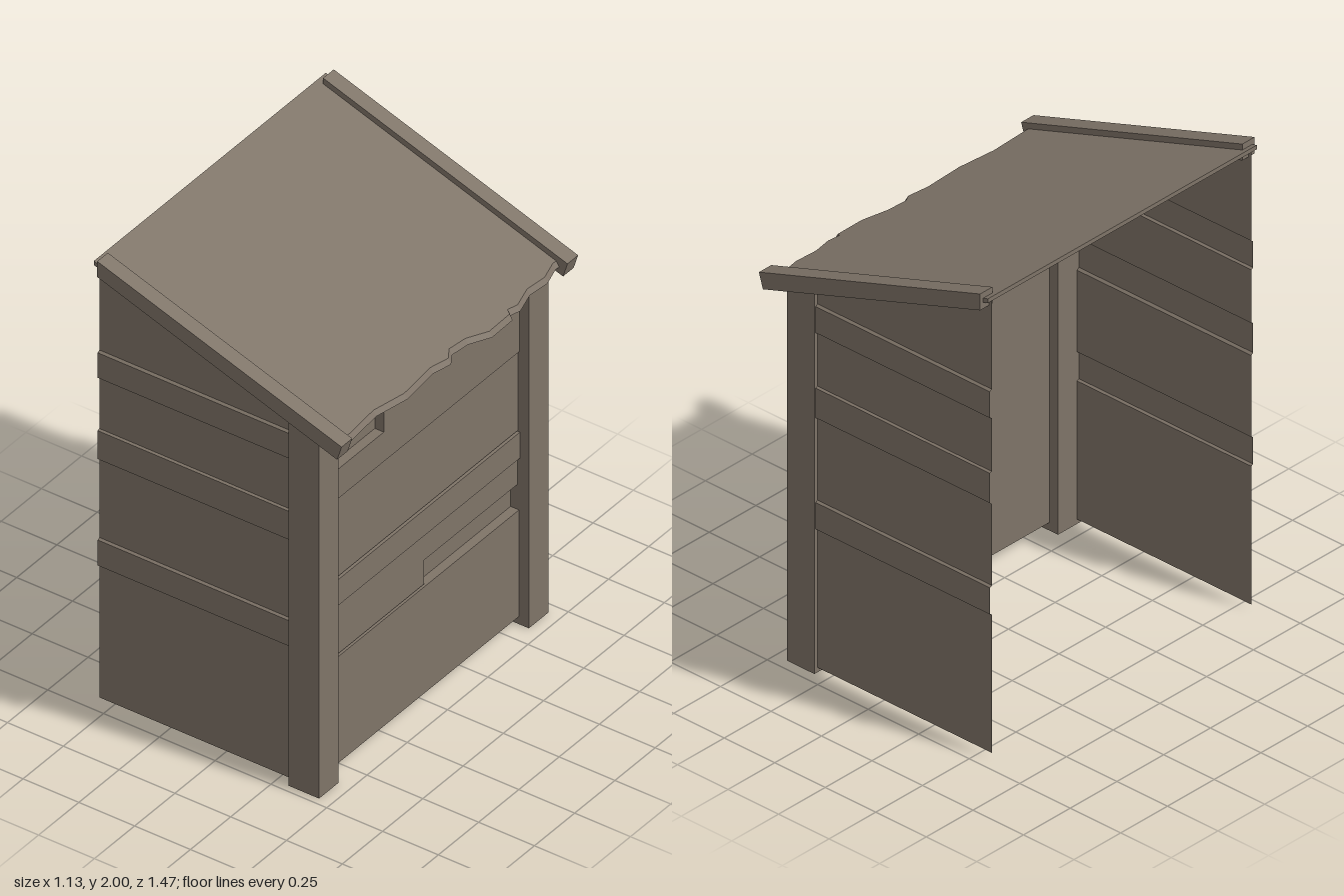
import * as THREE from 'three';

const SLOPE = -0.338;
const roofY = (x) => 1.983 + SLOPE * (x + 0.565); // top surface of the roof sheet

export function createModel() {
  const group = new THREE.Group();
  const wood = new THREE.MeshStandardMaterial({ color: 0x7f7468 });
  wood.name = 'weatheredWood';
  const sheetWood = wood.clone();
  sheetWood.name = 'weatheredWoodSheet';
  sheetWood.side = THREE.DoubleSide;

  const add = (name, geometry, material = wood) => {
    const mesh = new THREE.Mesh(geometry, material);
    mesh.name = name;
    group.add(mesh);
    return mesh;
  };
  const extrude = (points, depth) =>
    new THREE.ExtrudeGeometry(new THREE.Shape(points.map(([x, y]) => new THREE.Vector2(x, y))), {
      depth,
      bevelEnabled: false,
    });

  // Roof sheet: outline in x and z, ragged along the low eave, then sheared to the slope
  const eave = [
    [0.52, 0.72], [0.52, 0.66], [0.507, 0.47], [0.53, 0.31], [0.517, 0.13], [0.532, 0.04],
    [0.507, 0], [0.515, -0.09], [0.55, -0.19], [0.548, -0.32], [0.53, -0.33], [0.54, -0.38],
    [0.517, -0.47], [0.524, -0.57], [0.503, -0.65], [0.51, -0.72],
  ];
  const outline = [[-0.565, 0.72], ...eave, [-0.565, -0.72]].map(([x, z]) => [x, -z]);
  const thickness = 0.018;
  const roof = extrude(outline, thickness).rotateX(-Math.PI / 2);
  const pos = roof.attributes.position;
  for (let i = 0; i < pos.count; i++) {
    let x = pos.getX(i);
    const lower = pos.getY(i) < thickness / 2;
    if (lower && x > 0.4) x += 0.013; // the broken edge slants outward
    pos.setXYZ(i, x, roofY(x) - (lower ? thickness : 0), pos.getZ(i));
  }
  roof.computeVertexNormals();
  add('roofSheet', roof);

  // Sloping edge boards over both roof ends
  const boardShape = [[-0.54, 1.93], [0.535, 1.565], [0.555, 1.63], [-0.54, 2.0]];
  for (const [name, z] of [['frontRoofBoard', 0.668], ['backRoofBoard', -0.735]]) {
    add(name, extrude(boardShape, 0.066)).position.z = z;
  }

  // Corner posts with tops cut to the slope
  const postShape = [[0.308, 0], [0.444, 0], [0.444, 1.61], [0.308, 1.655]];
  for (const [name, z] of [['frontPost', 0.598], ['backPost', -0.705]]) {
    add(name, extrude(postShape, 0.122)).position.z = z;
  }

  // Thin side walls: rows of [height, outward step] joined between two ends
  const rows = [
    [0.02, 0], [0.612, 0], [0.617, 0.01], [0.731, 0.01], [0.737, 0],
    [1.086, 0], [1.094, 0.01], [1.221, 0.01], [1.225, 0],
    [1.453, 0], [1.458, 0.01], [1.57, 0.01], [1.577, 0], [2, 0],
  ];
  const sideWall = (side, base) => {
    const verts = [];
    const point = (x, [y, step]) => [x, Math.min(y, roofY(x) - 0.01), side * (base + step)];
    for (let i = 0; i < rows.length - 1; i++) {
      const a = point(-0.555, rows[i]);
      const b = point(0.315, rows[i]);
      const c = point(0.315, rows[i + 1]);
      const d = point(-0.555, rows[i + 1]);
      const faces = side > 0 ? [a, b, c, a, c, d] : [a, c, b, a, d, c];
      verts.push(...faces.flat());
    }
    const g = new THREE.BufferGeometry();
    g.setAttribute('position', new THREE.Float32BufferAttribute(verts, 3));
    g.computeVertexNormals();
    return g;
  };
  add('frontSideWall', sideWall(1, 0.7), sheetWood);
  add('backSideWall', sideWall(-1, 0.688), sheetWood);

  // End wall planks: [bottom, top, outward step, left z, right z]
  const planks = [
    [0.035, 0.512, 0.0, 0.6, -0.585],
    [0.518, 0.625, -0.006, 0.6, 0],
    [0.625, 0.742, -0.006, 0.6, -0.585],
    [0.746, 0.862, 0.004, 0.6, -0.585],
    [0.868, 1.217, -0.004, 0.6, -0.585],
    [1.223, 1.355, 0.002, 0.6, -0.585],
    [1.355, 1.468, 0.002, 0.26, -0.585],
    [1.474, 1.635, -0.004, 0.6, -0.585],
  ];
  for (const [y0, y1, step, z0, z1] of planks) {
    const plank = add('endWallPlank', new THREE.BoxGeometry(0.04, y1 - y0, z0 - z1));
    plank.position.set(0.38 + step, (y0 + y1) / 2, (z0 + z1) / 2);
  }

  // Backing seen through the broken planks
  add('endWallBacking', new THREE.BoxGeometry(0.012, 1.6, 1.185)).position.set(0.356, 0.835, 0.008);

  return group;
}
